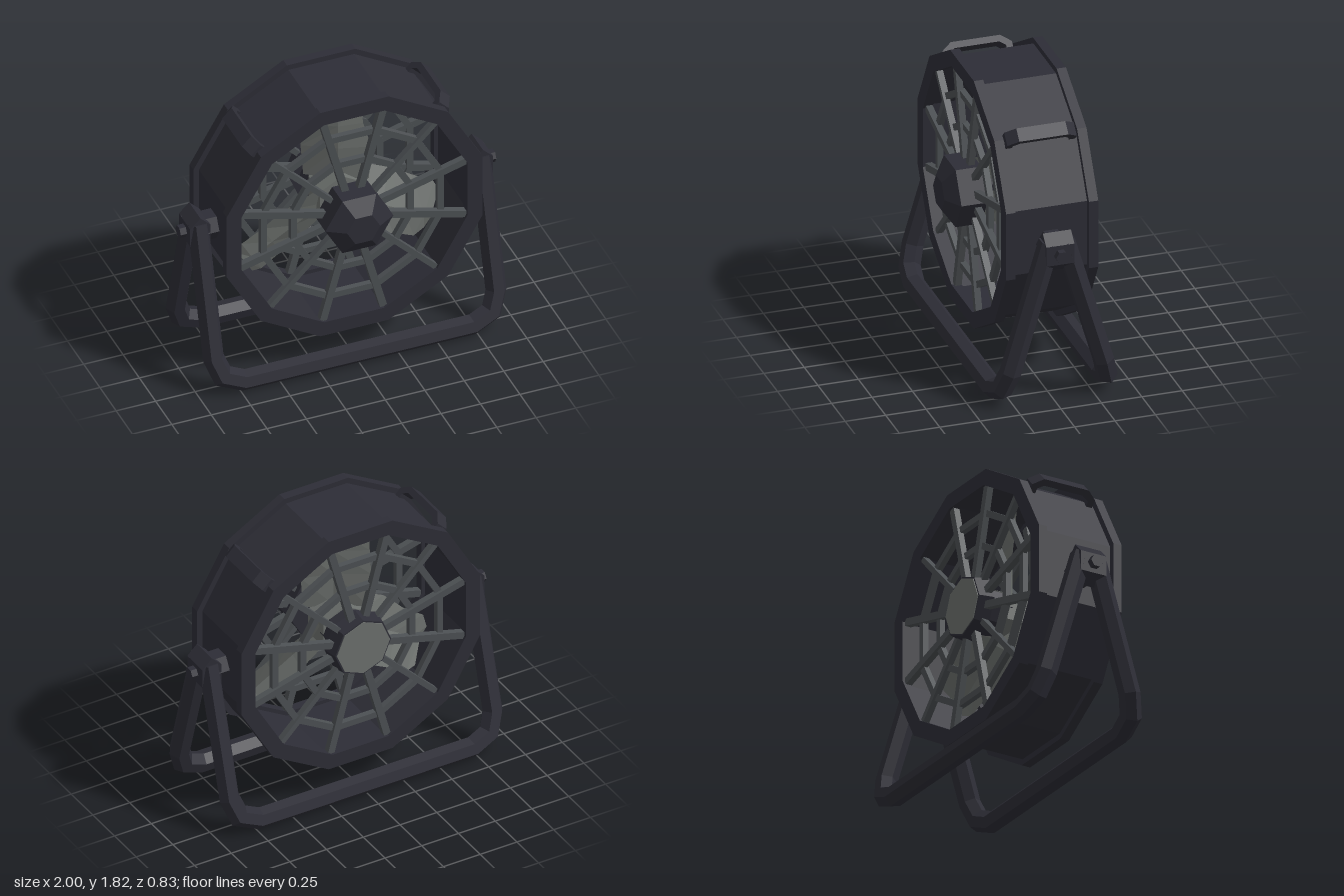
import * as THREE from 'three';

const AXIS_Y = 1.01, MID_Z = -0.01, SIDES = 12;
const VERTEX = 1 / Math.cos(Math.PI / SIDES); // flat distance -> corner radius

function material(name, color) {
  const m = new THREE.MeshStandardMaterial({ color, flatShading: true });
  m.name = name;
  return m;
}

// Closed profile [flat radius, z] turned into a twelve-sided ring around z
function ring(profile) {
  const pts = [...profile, profile[0]].map(([r, z]) => new THREE.Vector2(r * VERTEX, z));
  return new THREE.LatheGeometry(pts, SIDES, Math.PI / SIDES).rotateX(Math.PI / 2);
}

// Sweep a section [in-plane, normal] along a path in the xy plane with mitred corners
function sweep(path, section) {
  const p = path.map(([x, y]) => new THREE.Vector2(x, y));
  const n = section.length, pos = [], idx = [];
  p.forEach((c, i) => {
    const a = c.clone().sub(p[Math.max(i - 1, 0)]).normalize();
    const b = p[Math.min(i + 1, p.length - 1)].clone().sub(c).normalize();
    const t = a.clone().add(b).normalize();
    const miter = 1 / Math.max(t.dot(i ? a : b), 0.5);
    for (const [u, w] of section) pos.push(c.x - t.y * u * miter, c.y + t.x * u * miter, w);
  });
  for (let i = 0; i < p.length - 1; i++) {
    for (let j = 0; j < n; j++) {
      const a = i * n + j, b = i * n + (j + 1) % n;
      idx.push(a, b, b + n, a, b + n, a + n);
    }
  }
  const last = (p.length - 1) * n;
  for (let j = 1; j < n - 1; j++) idx.push(0, j + 1, j, last, last + j, last + j + 1);
  const g = new THREE.BufferGeometry();
  g.setAttribute('position', new THREE.Float32BufferAttribute(pos, 3));
  g.setIndex(idx);
  g.computeVertexNormals();
  return g;
}

// Pitched, cambered blade: three points across, several stations along the radius
function bladeGeometry() {
  // radius, left edge, right edge, pitch
  const stations = [[0.1, -0.17, 0.17, 0.5], [0.32, -0.19, 0.19, 0.42], [0.48, -0.19, 0.15, 0.34],
    [0.63, -0.19, 0.14, 0.28], [0.68, -0.15, 0.08, 0.26]];
  const pos = [], idx = [];
  stations.forEach(([r, l, e, pitch], i) => {
    const s = Math.tan(pitch);
    pos.push(l, r, l * s, 0, r, 0.03, e, r, e * s);
    if (!i) return;
    for (let j = 0; j < 2; j++) {
      const a = (i - 1) * 3 + j;
      idx.push(a, a + 1, a + 4, a, a + 4, a + 3);
    }
  });
  const g = new THREE.BufferGeometry();
  g.setAttribute('position', new THREE.Float32BufferAttribute(pos, 3));
  g.setIndex(idx);
  g.computeVertexNormals();
  return g;
}

export function createModel() {
  const model = new THREE.Group();
  model.name = 'floorFan';
  const body = material('darkBody', 0x2d2d36);
  const wire = material('grilleGrey', 0x4c5053);
  const light = material('bladeGrey', 0x6c706d);
  light.side = THREE.DoubleSide;

  const add = (parent, name, geo, mat) => {
    const m = new THREE.Mesh(geo, mat);
    m.name = name;
    parent.add(m);
    return m;
  };

  // Everything centred on the fan axis
  const head = new THREE.Group();
  head.name = 'fanHead';
  head.position.set(0, AXIS_Y, MID_Z);
  model.add(head);

  // Drum with a raised rim at both ends
  add(head, 'drum', ring([[0.715, -0.285], [0.81, -0.285], [0.81, -0.227], [0.775, -0.227],
    [0.775, 0.227], [0.81, 0.227], [0.81, 0.285], [0.715, 0.285],
    [0.715, 0.227], [0.74, 0.227], [0.74, -0.227], [0.715, -0.227]]), body);

  // Front and back grilles
  for (const side of [1, -1]) {
    const grille = new THREE.Group();
    grille.name = side > 0 ? 'frontGrille' : 'backGrille';
    head.add(grille);
    for (let i = 0; i < SIDES; i++) {
      const w = i % 3 === 1 ? 0.034 : 0.045;
      const spoke = new THREE.BoxGeometry(w, 0.62, 0.04);
      spoke.translate(0, 0.43, side * 0.25).rotateZ((i + 0.5) * Math.PI / 6);
      add(grille, 'spoke', spoke, wire);
    }
    for (const r of [0.37, 0.56]) {
      const z = side * 0.235;
      add(grille, 'grilleRing', ring([[r - 0.02, z - 0.018], [r + 0.02, z - 0.018],
        [r + 0.02, z + 0.018], [r - 0.02, z + 0.018]]), wire);
    }
  }

  // Six-sided front hub with tapered nose
  const hub = (name, r0, r1, z0, z1, sides, turn, mat) => add(head, name,
    new THREE.CylinderGeometry(r1, r0, z1 - z0, sides).rotateX(Math.PI / 2)
      .rotateZ(turn).translate(0, 0, (z0 + z1) / 2), mat);
  hub('frontHub', 0.215, 0.215, 0.2, 0.36, 6, Math.PI / 6, body);
  hub('frontHubNose', 0.215, 0.105, 0.36, 0.428, 6, Math.PI / 6, body);

  // Motor, eight-sided back hub and its pale cover
  hub('motor', 0.14, 0.14, -0.25, -0.05, 8, 0, body);
  hub('backHub', 0.19, 0.208, -0.314, -0.22, 8, 0, body);
  hub('backHubCover', 0.18, 0.18, -0.319, -0.313, 8, 0, light);

  // Rotor
  hub('rotorHub', 0.16, 0.16, -0.09, 0.09, 6, 0, light);
  hub('shaft', 0.04, 0.04, 0.08, 0.21, 6, 0, body);
  for (let i = 0; i < 3; i++) {
    add(head, 'blade', bladeGeometry(), light).rotation.z = i * Math.PI * 2 / 3;
  }

  // Carry handles on the upper corners
  const bar = [[-0.02, -0.042], [0.02, -0.042], [0.02, 0.042], [-0.02, 0.042]];
  const handlePath = [[-0.195, 0.77], [-0.195, 0.832], [-0.145, 0.87],
    [0.145, 0.87], [0.195, 0.832], [0.195, 0.77]];
  for (const s of [1, -1]) {
    add(head, s > 0 ? 'leftHandle' : 'rightHandle',
      sweep(handlePath, bar).rotateY(-Math.PI / 2).rotateZ(-s * Math.PI / 4), body);
  }

  // Two leaning U-shaped legs of six-sided tube
  const hex = [];
  for (let i = 0; i < 6; i++) {
    hex.push([0.065 * Math.cos(i * Math.PI / 3), 0.065 * Math.sin(i * Math.PI / 3)]);
  }
  const half = [[0.895, 1.03], [0.895, 0.18], [0.85, 0.055], [0.725, 0]];
  const legPath = [...half.map(([x, y]) => [-x, y]), ...half.slice().reverse()];
  for (const s of [1, -1]) {
    const leg = new THREE.Group();
    leg.name = s > 0 ? 'frontLeg' : 'backLeg';
    leg.position.z = MID_Z;
    leg.rotation.y = s > 0 ? 0 : Math.PI;
    model.add(leg);
    const tube = add(leg, 'legTube', sweep(legPath, hex), body);
    tube.position.set(0, 0.062, 0.338);
    tube.rotation.x = -Math.atan(0.295);
  }

  // Pivots: joint where the legs meet, collar against the drum and bolt
  for (const s of [1, -1]) {
    const pivot = new THREE.Group();
    pivot.name = s > 0 ? 'leftPivot' : 'rightPivot';
    pivot.position.set(0, 0.985, MID_Z);
    model.add(pivot);
    add(pivot, 'legJoint', new THREE.CylinderGeometry(0.125, 0.125, 0.174, 6)
      .rotateX(Math.PI / 2).scale(0.6, 1, 1).translate(s * 0.895, 0, 0), body);
    add(pivot, 'collar', new THREE.CylinderGeometry(0.09, 0.09, 0.09, 6)
      .rotateZ(Math.PI / 2).translate(s * 0.805, 0, 0), body);
    add(pivot, 'bolt', new THREE.CylinderGeometry(0.04, 0.04, 0.2, 6)
      .rotateZ(Math.PI / 2).translate(s * 0.9, 0, 0), body);
  }
  return model;
}
